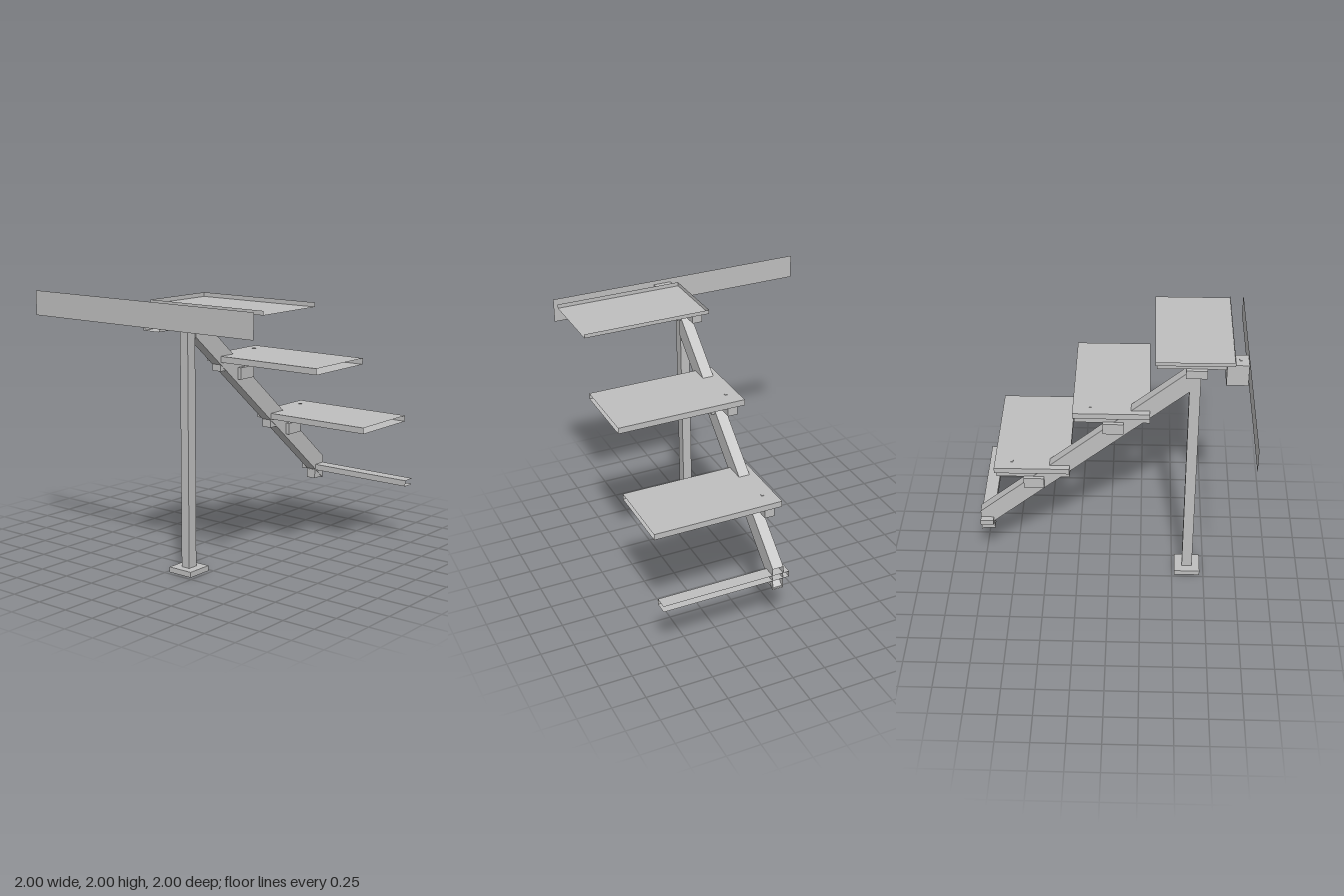
import * as THREE from 'three';

const steel = new THREE.MeshStandardMaterial({ color: 0xbfbfbf, side: THREE.DoubleSide });
steel.name = 'grey steel';

// Box side indices in BoxGeometry order
const RIGHT_END = 0, TOP = 2, FRONT = 4, BACK = 5;

// Box given by its extents, with chosen sides left open
function openBox(name, [x0, x1], [y0, y1], [z0, z1], open = []) {
  const geo = new THREE.BoxGeometry(x1 - x0, y1 - y0, z1 - z0);
  const index = Array.from(geo.index.array);
  geo.setIndex(index.filter((_, i) => !open.includes(Math.floor(i / 6))));
  geo.clearGroups();
  geo.translate((x0 + x1) / 2, (y0 + y1) / 2, (z0 + z1) / 2);
  const mesh = new THREE.Mesh(geo, steel);
  mesh.name = name;
  return mesh;
}

// Sloping stringer: a hollow tube sheared along z
function stringer() {
  const mesh = openBox('stringer', [0.078, 0.162], [0.39, 0.57], [-1, 0.58], [BACK]);
  const p = mesh.geometry.attributes.position;
  for (let i = 0; i < p.count; i++) p.setY(i, p.getY(i) + (p.getZ(i) + 1) * 0.84);
  mesh.geometry.computeVertexNormals();
  return mesh;
}

export function createModel() {
  const model = new THREE.Group();
  model.name = 'staircase';
  const wide = [0.03, 1], tube = [0.082, 0.158], block = [0.05, 0.19];

  // Post and foot
  model.add(openBox('post', [0.085, 0.155], [0.04, 1.88], [0.58, 0.66]));
  model.add(openBox('basePlate', [0.02, 0.22], [0, 0.04], [0.52, 0.72]));
  model.add(stringer());

  // Steps: hollow tread, carrier tube and support block
  const steps = [
    { z: 0.33, bottom: 1.97, top: 2, tube: 1.912, block: 1.85, open: [RIGHT_END, TOP] },
    { z: -0.27, bottom: 1.5, top: 1.545, tube: 1.433, block: 1.35, open: [RIGHT_END] },
    { z: -0.87, bottom: 0.985, top: 1.03, tube: 0.917, block: 0.835, open: [RIGHT_END] },
  ];
  steps.forEach((s, i) => {
    const step = new THREE.Group();
    step.name = 'step' + (i + 1);
    step.add(openBox('tread', wide, [s.bottom, s.top], [s.z, s.z + 0.57], s.open));
    step.add(openBox('carrierTube', tube, [s.tube, s.bottom], [s.z + 0.01, s.z + 0.57]));
    step.add(openBox('supportBlock', block, [s.block, s.tube + 0.005], [s.z + 0.22, s.z + 0.375]));
    if (i > 0) step.add(openBox('bolt', [0.11, 0.13], [s.top, s.top + 0.004], [s.z + 0.12, s.z + 0.14]));
    model.add(step);
  });

  // Lowest step, cut off at the back
  model.add(openBox('lowestTread', wide, [0.47, 0.515], [-1, -0.9], [RIGHT_END, BACK]));
  model.add(openBox('lowestCarrierTube', tube, [0.4, 0.47], [-1, -0.895], [BACK]));

  // Landing edge with its bracket
  model.add(openBox('landingBracket', block, [1.8, 1.97], [0.84, 0.998], [FRONT]));
  model.add(openBox('landingBolt', [0.11, 0.13], [1.97, 1.974], [0.93, 0.95]));
  const edge = new THREE.Mesh(new THREE.PlaneGeometry(2, 0.18), steel);
  edge.name = 'landingEdge';
  edge.position.set(0, 1.91, 1);
  model.add(edge);

  return model;
}
